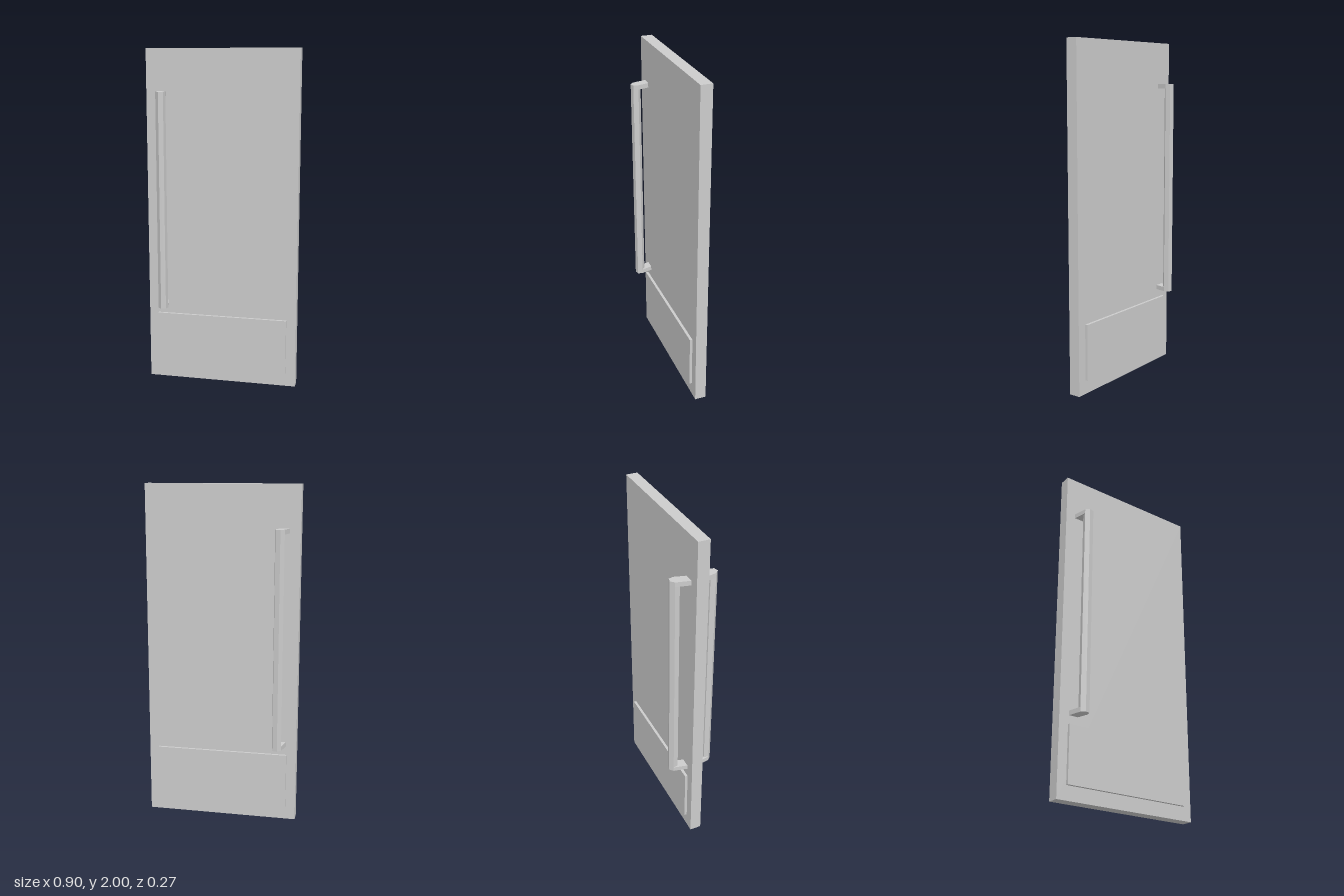
import * as THREE from 'three';

const material = new THREE.MeshStandardMaterial({ color: 0xcccccc, flatShading: true });

function box(name, w, h, d, y, z) {
  const mesh = new THREE.Mesh(new THREE.BoxGeometry(w, h, d), material);
  mesh.name = name;
  mesh.position.set(0, y, z);
  return mesh;
}

// Upright prism with a plan outline of [x, z] points; side = -1 mirrors it to the back
function prism(name, outline, side, y0, y1) {
  const shape = new THREE.Shape(outline.map(([x, z]) => new THREE.Vector2(x, -z * side)));
  const geometry = new THREE.ExtrudeGeometry(shape, { depth: y1 - y0, bevelEnabled: false });
  geometry.rotateX(-Math.PI / 2);
  const mesh = new THREE.Mesh(geometry, material);
  mesh.name = name;
  mesh.position.y = y0;
  return mesh;
}

export function createModel() {
  const model = new THREE.Group();
  model.name = 'door';

  const doorFace = 0.034;
  model.add(box('doorPanel', 0.904, 2, doorFace * 2, 1, 0));

  // Six-sided grip, and the slanted arm that joins it to the door
  const left = [-0.372, 0.116], right = [-0.316, 0.1];
  const innerLeft = [-0.366, 0.087], innerRight = [-0.338, 0.08];
  const grip = [left, [-0.35, 0.136], [-0.322, 0.129], right, innerRight, innerLeft];
  const arm = [[-0.39, doorFace], left, innerLeft, innerRight, right, [-0.333, doorFace]];
  const bottom = 0.465, top = 1.754, armHeight = 0.027;

  for (const side of [1, -1]) {
    const prefix = side > 0 ? 'front' : 'back';
    model.add(box(prefix + 'KickPlate', 0.79, 0.33, 0.016, 0.247, side * (doorFace + 0.008)));

    const handle = new THREE.Group();
    handle.name = prefix + 'Handle';
    handle.add(
      prism('grip', grip, side, bottom, top),
      prism('lowerArm', arm, side, bottom, bottom + armHeight),
      prism('upperArm', arm, side, top - armHeight, top),
    );
    model.add(handle);
  }
  return model;
}
